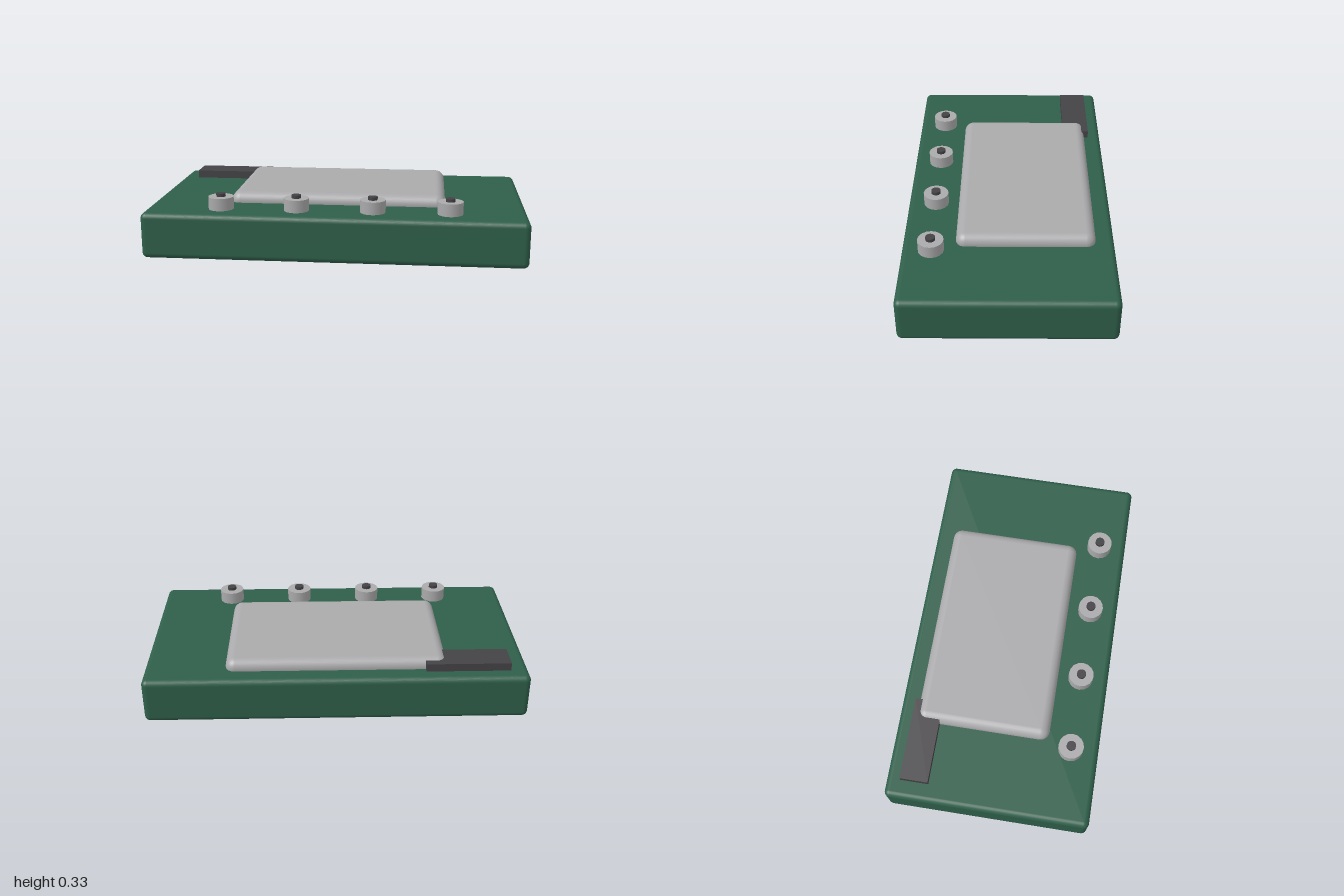
import * as THREE from 'three';
import { RoundedBoxGeometry } from 'three/addons/geometries/RoundedBoxGeometry.js';

export function createModel() {
  const paint = (name, color) => {
    const m = new THREE.MeshStandardMaterial({ color });
    m.name = name;
    return m;
  };
  const green = paint('green enamel', 0x2f5f4a);
  const grey = paint('light grey', 0xaaaaac);
  const dark = paint('dark grey', 0x444246);

  const model = new THREE.Group();
  model.name = 'controlBox';
  const add = (parent, name, geometry, material, x, y, z) => {
    const mesh = new THREE.Mesh(geometry, material);
    mesh.name = name;
    mesh.position.set(x, y, z);
    parent.add(mesh);
  };

  // Case with softly rounded edges
  add(model, 'case', new RoundedBoxGeometry(2, 0.243, 1.086, 4, 0.03), green, 0, 0.1215, 0);

  // Rounded plate, sunk halfway into the case
  add(model, 'topPlate', new RoundedBoxGeometry(1.154, 0.1, 0.716, 4, 0.05), grey, 0, 0.25, -0.088);

  // Dark bar at the back right, tucked under the plate's corner
  add(model, 'rearBar', new THREE.BoxGeometry(0.44, 0.08, 0.15), dark, -0.685, 0.246, -0.395);

  // Row of four knobs with dark pins
  const knobGeometry = new THREE.CylinderGeometry(0.067, 0.067, 0.07, 16);
  const pinGeometry = new THREE.CylinderGeometry(0.025, 0.025, 0.04, 16);
  [-0.6, -0.2, 0.2, 0.6].forEach((x, i) => {
    const knob = new THREE.Group();
    knob.name = `knob${i + 1}`;
    knob.position.set(x, 0, 0.393);
    add(knob, 'knobBody', knobGeometry, grey, 0, 0.274, 0);
    add(knob, 'knobPin', pinGeometry, dark, 0, 0.306, 0);
    model.add(knob);
  });

  return model;
}
